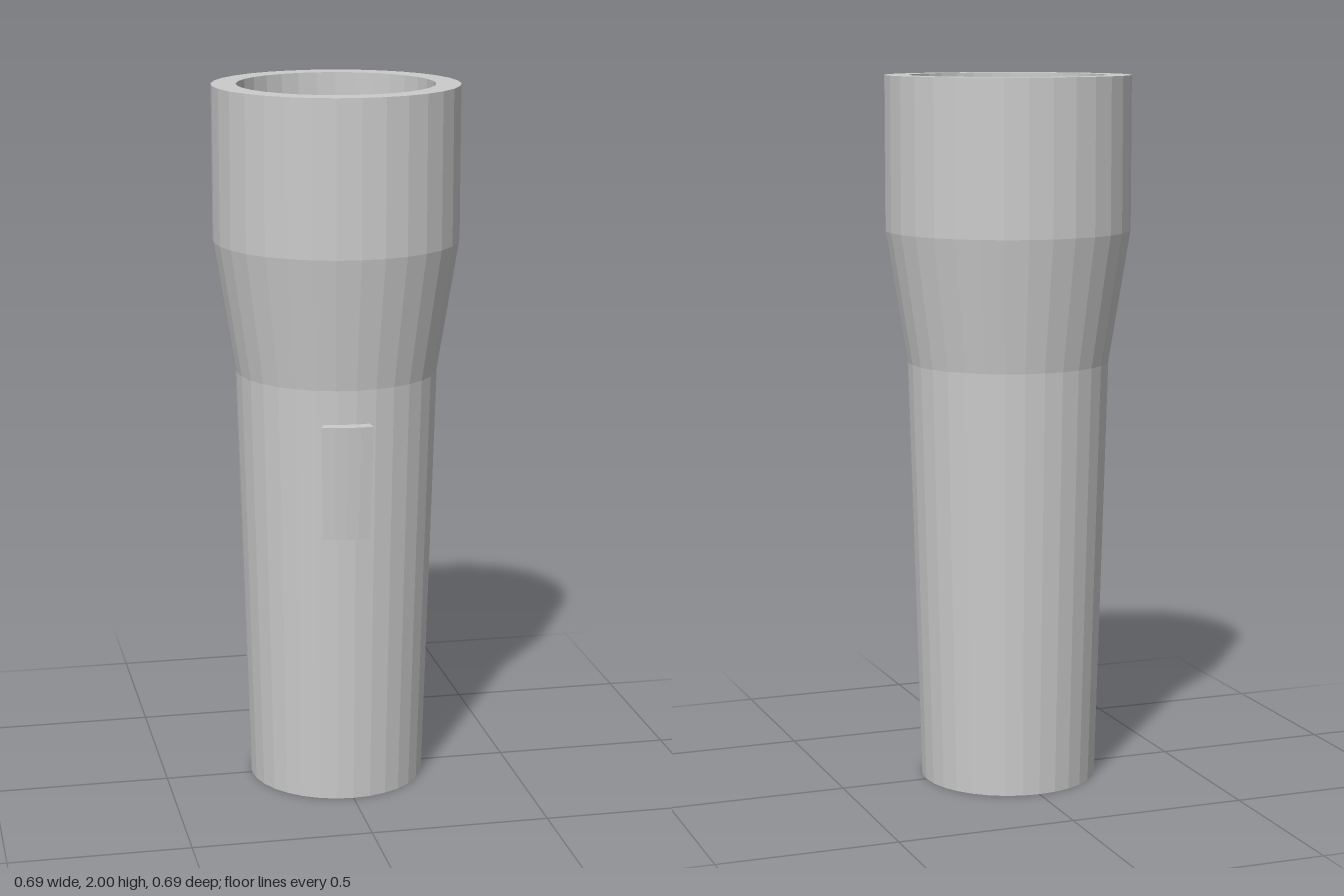
import * as THREE from 'three';

const SIDES = 32;
const material = new THREE.MeshStandardMaterial({ color: 0xcccccc, flatShading: true });

// Switch pad: an arc-shaped slab that widens outward towards its top
function switchGeometry() {
  const from = -0.325, to = 0.13, steps = 4;
  const bottomY = 0.78, height = 0.325, rOuter = 0.29, rInner = 0.25, topScale = 1.09;
  const points = [];
  for (const r of [rOuter, rInner]) {
    for (let i = 0; i <= steps; i++) {
      const t = r === rOuter ? i / steps : 1 - i / steps;
      const a = from + (to - from) * t;
      points.push(new THREE.Vector2(r * Math.sin(a), -r * Math.cos(a)));
    }
  }
  const geometry = new THREE.ExtrudeGeometry(new THREE.Shape(points), { depth: height, bevelEnabled: false });
  geometry.rotateX(-Math.PI / 2);
  const p = geometry.attributes.position;
  for (let i = 0; i < p.count; i++) {
    const s = 1 + (topScale - 1) * p.getY(i) / height;
    p.setXYZ(i, p.getX(i) * s, p.getY(i) + bottomY, p.getZ(i) * s);
  }
  geometry.computeVertexNormals();
  return geometry;
}

export function createModel() {
  const group = new THREE.Group();
  group.name = 'flashlight';

  // Add one lathed part from [radius, height] pairs
  const addLathe = (name, profile) => {
    const points = profile.map(([r, y]) => new THREE.Vector2(r, y));
    const mesh = new THREE.Mesh(new THREE.LatheGeometry(points, SIDES), material);
    mesh.name = name;
    group.add(mesh);
  };

  // Tapered handle with a closed base
  addLathe('handle', [[0, 0], [0.25, 0], [0.284, 1.2]]);
  // Flared neck and straight head with a thick rim
  addLathe('head', [[0.284, 1.2], [0.344, 1.57], [0.344, 2], [0.275, 2]]);
  // Recess inside the head, down to the lens
  addLathe('recess', [[0.275, 2], [0.275, 1.58]]);
  addLathe('lens', [[0.275, 1.58], [0, 1.58]]);

  const pad = new THREE.Mesh(switchGeometry(), material);
  pad.name = 'switch';
  group.add(pad);

  return group;
}
